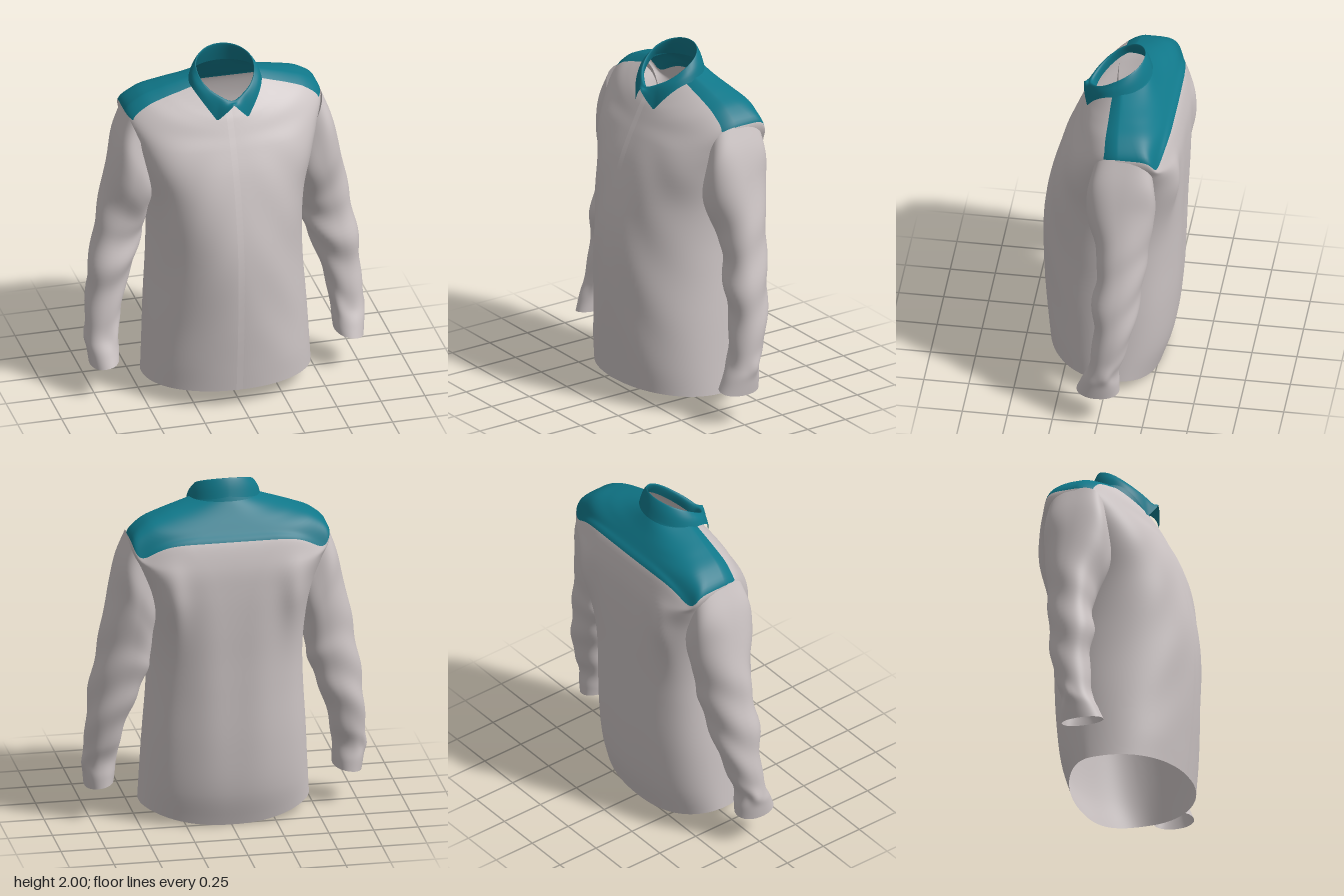
import * as THREE from 'three';

const cloth = new THREE.MeshStandardMaterial({ color: 0xccc4c4, side: THREE.DoubleSide });
const teal = new THREE.MeshStandardMaterial({ color: 0x10788a, side: THREE.DoubleSide });
const COLS = 120;
const { lerp, smoothstep, mapLinear, radToDeg } = THREE.MathUtils;
const pw = (v, e) => Math.sign(v) * Math.pow(Math.abs(v), 2 / e);
const bell = (v, centre, width) => Math.exp(-(((v - centre) / width) ** 2));

// Smooth closed loft through key rings; the cells are sorted into named parts
// that share one set of normals, so seams stay smooth.
function loft(keys, point, sub, parts, partOf, deform) {
  const rows = (keys.length - 1) * sub, pos = [], index = parts.map(() => []);
  const columns = [];
  for (let j = 0; j < COLS; j++) {
    const a = (j / COLS) * Math.PI * 2;
    columns.push(new THREE.CatmullRomCurve3(keys.map((k) => point(k, a))));
  }
  for (let i = 0; i <= rows; i++) {
    for (let j = 0; j < COLS; j++) {
      const p = columns[j].getPoint(i / rows);
      if (deform) deform(p, (j / COLS) * Math.PI * 2, i / sub);
      pos.push(p.x, p.y, p.z);
    }
  }
  for (let i = 0; i < rows; i++) {
    for (let j = 0; j < COLS; j++) {
      const a = i * COLS + j, b = i * COLS + ((j + 1) % COLS);
      index[partOf(i / sub, j)].push(a, a + COLS, b, b, a + COLS, b + COLS);
    }
  }
  const whole = new THREE.BufferGeometry();
  whole.setAttribute('position', new THREE.Float32BufferAttribute(pos, 3));
  whole.setIndex(index.flat());
  whole.computeVertexNormals();
  return parts.map(([name, material], n) => {
    const g = new THREE.BufferGeometry();
    g.setAttribute('position', whole.attributes.position);
    g.setAttribute('normal', whole.attributes.normal);
    g.setIndex(index[n]);
    const mesh = new THREE.Mesh(g, material);
    mesh.name = name;
    return mesh;
  });
}

// Body rings: half width, front z, back z, y at side / front / back,
// front and back squareness, widest z
const bodyRings = [
  [0.475, 0.36, -0.27, 0.085, 0.105, 0.0, 2.1, 2.3, -0.02],
  [0.465, 0.375, -0.33, 0.24, 0.26, 0.2, 2.1, 2.3, -0.02],
  [0.45, 0.395, -0.362, 0.5, 0.5, 0.48, 2, 2.4, -0.03],
  [0.43, 0.405, -0.375, 0.8, 0.8, 0.8, 2, 2.5, -0.04],
  [0.425, 0.39, -0.38, 1.0, 1.0, 1.0, 2.1, 2.7, -0.04],
  [0.44, 0.35, -0.387, 1.2, 1.2, 1.2, 2.3, 3, -0.04],
  [0.48, 0.29, -0.388, 1.4, 1.4, 1.4, 2.6, 3.6, -0.04],
  [0.525, 0.235, -0.378, 1.55, 1.53, 1.55, 2.5, 4.5, -0.07],
  [0.555, 0.2, -0.34, 1.69, 1.6, 1.69, 2, 7, -0.09],
  [0.475, 0.175, -0.305, 1.772, 1.65, 1.73, 2, 5, -0.08],
  [0.37, 0.154, -0.27, 1.815, 1.69, 1.775, 2, 3.5, -0.071],
  [0.275, 0.138, -0.235, 1.845, 1.715, 1.82, 2, 2.6, -0.062],
  [0.19, 0.118, -0.195, 1.87, 1.745, 1.875, 2, 2, -0.053],
];
const YOKE = 8, YOKE_EDGE = 6;

function bodyPoint([w, zf, zb, ys, yf, yb, ef, eb, zc], a) {
  const c = Math.cos(a), s = Math.sin(a), front = s >= 0;
  const e = front ? ef : eb;
  const x = w * pw(c, e);
  let z = zc + (front ? zf - zc : zc - zb) * pw(s, e);
  let y = ys + ((front ? yf : yb) - ys) * Math.pow(Math.abs(s), front ? 1.25 : 2);
  // the rear shoulder corners hang lower and sit further forward
  if (!front) {
    const corner = bell(ys, 1.69, 0.06);
    y -= 0.075 * 4 * s * s * c * c * corner;
    z += 0.06 * s * s * Math.pow(x / w, 4) * corner;
  }
  return new THREE.Vector3(x, y, z);
}

// Soft folds, and fullness beside the shoulder blades
function bodyFolds(p, a, k) {
  const fade = smoothstep(YOKE - k, 0.2, 2.5) * smoothstep(k, 0, 3);
  if (p.z < -0.1) {
    p.z -= 0.04 * bell(Math.abs(p.x), 0.34, 0.07) * bell(p.y, 1.42, 0.25) * fade;
    p.z += 0.003 * Math.cos(p.x * 22) * fade;
  } else {
    p.z += 0.004 * Math.sin(Math.abs(p.x) * 20 + p.y * 13) * fade * Math.min(1, Math.abs(p.x) * 4);
  }
}

// Sleeve rings, cuff to armhole: inner x, y, outer x, y, front z, back z
const sleeveRings = [
  [0.615, 0.215, 0.775, 0.188, 0.122, -0.115],
  [0.61, 0.27, 0.785, 0.265, 0.095, -0.115],
  [0.605, 0.36, 0.795, 0.34, 0.06, -0.11],
  [0.585, 0.48, 0.785, 0.45, 0.04, -0.15],
  [0.55, 0.63, 0.775, 0.62, 0.03, -0.19],
  [0.495, 0.78, 0.755, 0.8, 0.04, -0.22],
  [0.455, 0.9, 0.72, 1.0, 0.02, -0.24],
  [0.435, 0.99, 0.69, 1.18, 0.03, -0.255],
  [0.425, 1.1, 0.645, 1.39, 0.08, -0.275],
  [0.41, 1.2, 0.605, 1.55, 0.09, -0.285],
  [0.39, 1.29, 0.552, 1.69, 0.06, -0.27],
];

function sleeve(side) {
  const point = ([ix, iy, ox, oy, zf, zb], a) => {
    // squarer towards the shoulder, so the cap meets the yoke along its width
    const e = 2.15 + 1.3 * smoothstep(oy, 1.3, 1.69);
    const c = side * pw(Math.cos(a), e), s = pw(Math.sin(a), e);
    const z = ((zf - zb) / 2) * s;
    // the back of the arm leans in towards the body
    const lean = 0.22 * z * bell(oy, 0.95, 0.4);
    return new THREE.Vector3(
      side * ((ix + ox) / 2 + ((ox - ix) / 2) * c + lean),
      (iy + oy) / 2 + ((oy - iy) / 2) * c,
      (zf + zb) / 2 + z
    );
  };
  // slanting creases, strongest round the elbow
  const creases = (p, a, k) => {
    const c = side * Math.cos(a), s = Math.sin(a);
    const d = 0.006 * bell(k, 5, 2.4) * Math.sin(k * 3.7 + 2.4 * s + 1.6 * c)
      + 0.005 * bell(k, 2, 0.5) * Math.sin(5 * s + 3 * c);
    p.x += side * c * d;
    p.z += s * d;
  };
  const group = new THREE.Group();
  group.name = side > 0 ? 'leftSleeve' : 'rightSleeve';
  group.add(...loft(sleeveRings, point, 6, [['cuff', cloth], ['sleeve', cloth]],
    (k) => (k < 2 ? 0 : 1), creases));
  return group;
}

// Folded collar: from the pointed lower edge over the fold and down the stand
function collar() {
  const peak = (a) => (Math.sin(a) > 0 ? bell(Math.cos(a), 0, 0.35) : 0);
  const ring = (a, rx, front, back, y) => {
    const s = Math.sin(a), zc = -0.02;
    const z = zc + s * (s > 0 ? front - zc : zc - back) + 0.015 * peak(a);
    return new THREE.Vector3(rx * Math.cos(a), y, z);
  };
  const foldY = (a) => {
    const s = Math.sin(a);
    return s > 0 ? 1.93 - 0.115 * Math.pow(s, 1.1) - 0.02 * peak(a) : 1.93 + 0.07 * Math.pow(-s, 0.9);
  };
  // straight edges run from the front notch to each point and back to the side
  const TIP = 0.43;
  const fallY = (a) => {
    const across = Math.abs(Math.cos(a));
    if (Math.sin(a) < 0) return mapLinear(Math.abs(radToDeg(a) - 270), 0, 90, 1.905, 1.85);
    return across < TIP
      ? mapLinear(across, 0, TIP, 1.785, 1.685)
      : mapLinear(across, TIP, 1, 1.685, 1.85);
  };
  const steps = [
    (a) => ring(a, 0.204, 0.168, -0.197, fallY(a)),
    (a) => ring(a, 0.19, 0.158, -0.18, lerp(fallY(a), foldY(a), 0.55)),
    (a) => ring(a, 0.17, 0.143, -0.163, foldY(a) - 0.008),
    (a) => ring(a, 0.162, 0.131, -0.156, foldY(a)),
    (a) => ring(a, 0.16, 0.118, -0.156, foldY(a) - 0.012),
    (a) => bodyPoint(bodyRings[12], a),
  ];
  return loft(steps, (step, a) => step(a), 3, [['collar', teal]], () => 0)[0];
}

// Front overlap: a strip with one free edge, its other edge tucked into the body
function placket() {
  const rows = 60, g = new THREE.PlaneGeometry(1, 1, 1, rows), p = g.attributes.position;
  const curve = new THREE.CatmullRomCurve3(bodyRings.map((r) => bodyPoint(r, Math.PI / 2)));
  for (let i = 0; i <= rows; i++) {
    const q = curve.getPoint(1 - i / rows);
    p.setXYZ(i * 2, -0.035, q.y, q.z + 0.0025);
    p.setXYZ(i * 2 + 1, 0.03, q.y, q.z - 0.002);
  }
  g.computeVertexNormals();
  const mesh = new THREE.Mesh(g, cloth);
  mesh.name = 'frontPlacket';
  return mesh;
}

export function createModel() {
  const shirt = new THREE.Group();
  shirt.name = 'shirt';
  // the yoke covers the rear of the upper rings and wraps just over the shoulder
  const isYoke = (k, j) => k >= YOKE && (j >= COLS / 2 - YOKE_EDGE || j < YOKE_EDGE);
  shirt.add(...loft(bodyRings, bodyPoint, 6, [['body', cloth], ['yoke', teal]],
    (k, j) => (isYoke(k, j) ? 1 : 0), bodyFolds));
  shirt.add(sleeve(1), sleeve(-1), collar(), placket());
  return shirt;
}
